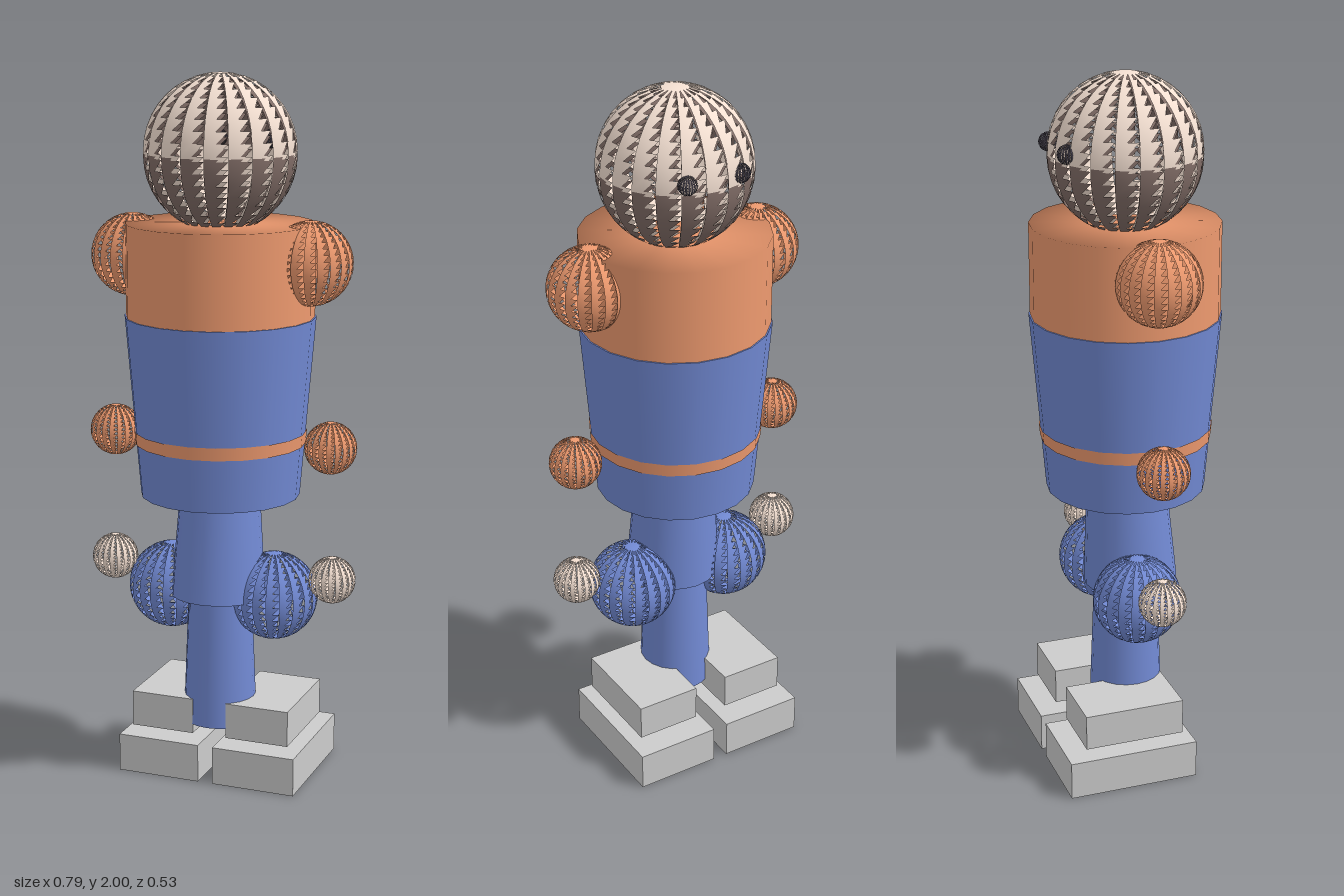
import * as THREE from 'three';

const SIDES = 20;
const ORANGE = 0xee9a6f, BLUE = 0x728ad4, SKIN = 0xf4e0d2, BROWN = 0x806c66, DARK = 0x45404c, GREY = 0xcccccc;

export function createModel() {
  const model = new THREE.Group();
  model.name = 'toyFigure';

  // Double-sided, since the balls and tubes are open
  function add(name, geometry, color, x, y, z) {
    const material = new THREE.MeshStandardMaterial({ color, side: THREE.DoubleSide });
    const mesh = new THREE.Mesh(geometry, material);
    mesh.name = name;
    mesh.position.set(x, y, z);
    model.add(mesh);
    return mesh;
  }

  // Slatted ball: solid strips alternate with sawtooth strips, closed at both poles
  function ball(name, radius, color, x, y, z) {
    const columns = SIDES * 2, rows = SIDES, stride = columns + 1;
    const g = new THREE.SphereGeometry(radius, columns, rows);
    const index = [];
    for (let r = 0; r < rows; r++) {
      for (let c = 0; c < columns; c++) {
        const a = r * stride + c, b = a + 1, d = a + stride, e = d + 1;
        if (r > 0) index.push(a, d, b);
        if (c % 2 || r === 0) index.push(b, d, e);
      }
    }
    g.setIndex(index);
    add(name, g, color, x, y, z);
  }

  // Upright round section between two heights
  function drum(name, rTop, rBottom, top, bottom, color, z = 0, open = false) {
    const g = new THREE.CylinderGeometry(rTop, rBottom, top - bottom, SIDES, 1, open);
    return add(name, g, color, 0, (top + bottom) / 2, z);
  }

  function box(name, x0, x1, y0, y1, z0, z1, color) {
    add(name, new THREE.BoxGeometry(x1 - x0, y1 - y0, z1 - z0), color,
      (x0 + x1) / 2, (y0 + y1) / 2, (z0 + z1) / 2);
  }

  // Head: light ball with a dark one set slightly lower, so it shows on the underside
  ball('head', 0.21, SKIN, 0, 1.79, 0);
  ball('darkUnderside', 0.21, BROWN, 0, 1.777, 0);

  // Chest: flat top that shares the wall's outward normals along its rim
  const chestProfile = [[0.262, 1.33], [0.262, 1.594], [0, 1.594]].map(([r, y]) => new THREE.Vector2(r, y));
  const chest = new THREE.LatheGeometry(chestProfile, SIDES);
  const { position, normal } = chest.attributes;
  for (let i = 0; i < position.count; i++) {
    const x = position.getX(i), z = position.getZ(i), r = Math.hypot(x, z);
    if (r > 0.01) normal.setXYZ(i, x / r, 0, z / r);
  }
  add('chest', chest, ORANGE, 0, 0, 0);

  // Tapered shirt and belt
  drum('shirt', 0.266, 0.224, 1.337, 0.83, BLUE);
  drum('belt', 0.2425, 0.2395, 1.016, 0.98, ORANGE, 0, true);

  // Legs: tilted thigh section above a slimmer shin section
  const thigh = drum('thighs', 0.113, 0.134, 0.84, 0.535, BLUE, 0.008);
  thigh.rotation.x = -0.04;
  drum('shins', 0.09, 0.105, 0.56, 0.16, BLUE);

  // Mirrored parts
  for (const [side, s] of [['left', 1], ['right', -1]]) {
    ball(side + 'Eye', 0.026, DARK, s * 0.08, 1.81, -0.19);
    ball(side + 'Shoulder', 0.116, ORANGE, s * 0.262, 1.495, 0);
    ball(side + 'Elbow', 0.073, ORANGE, s * 0.323, 0.986, -0.007);
    ball(side + 'Hand', 0.066, SKIN, s * 0.331, 0.607, -0.01);
    ball(side + 'Knee', 0.125, BLUE, s * 0.155, 0.54, -0.02);

    // Foot: two stacked blocks, toes toward the eye side
    const span = (a, b) => (s > 0 ? [a, b] : [-b, -a]);
    box(side + 'Sole', ...span(0.022, 0.266), 0, 0.11, -0.255, 0.122, GREY);
    box(side + 'Ankle', ...span(0.05, 0.237), 0.132, 0.235, -0.2, 0.09, GREY);
  }
  return model;
}
